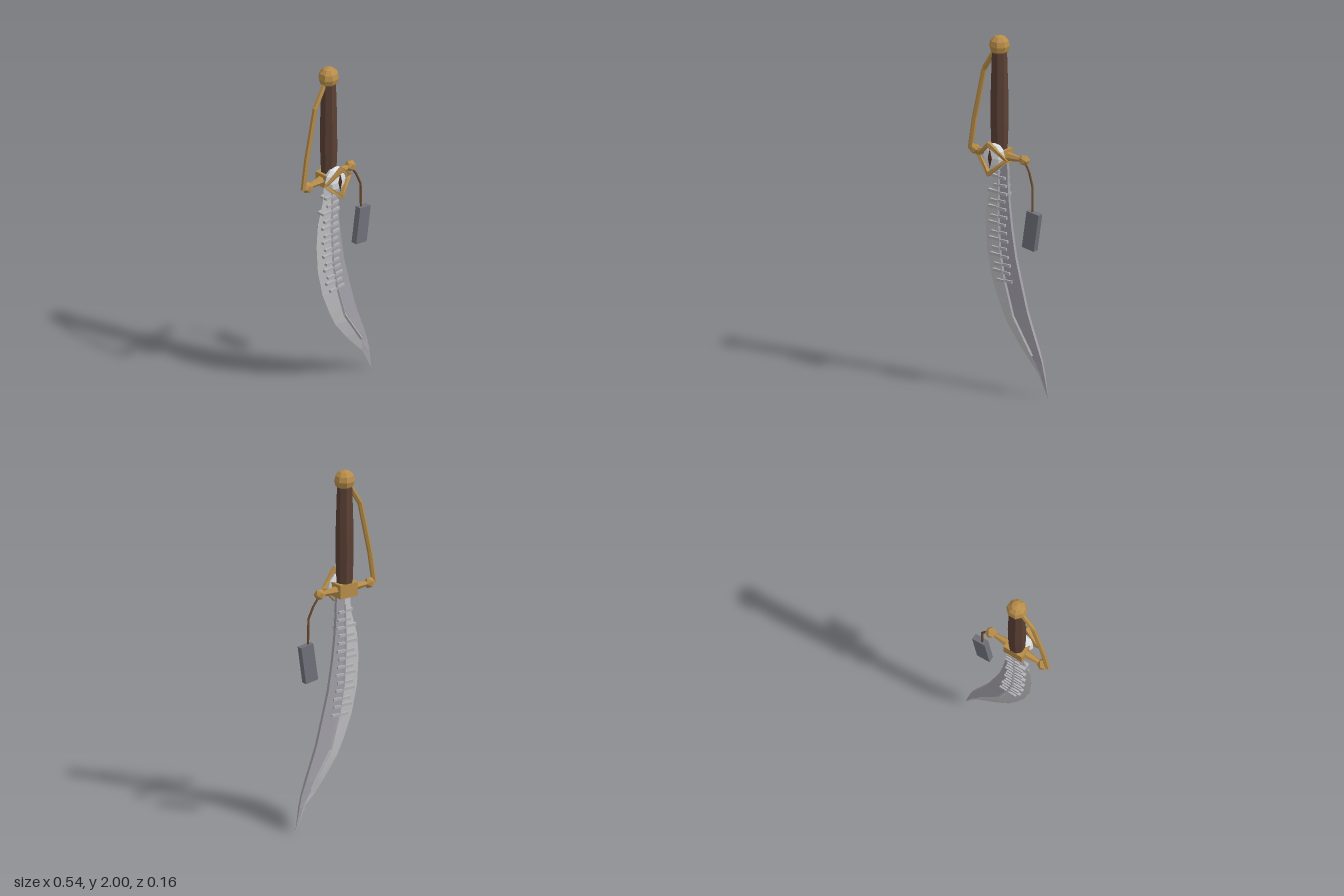
import * as THREE from 'three';

const CX = -0.06, CZ = -0.027, GY = 1.323; // hilt axis and guard height

const mat = (name, color) => {
  const m = new THREE.MeshStandardMaterial({ color, flatShading: true });
  m.name = name;
  return m;
};

export function createModel() {
  const root = new THREE.Group();
  root.name = 'curvedDagger';
  const gold = mat('gold', 0xb78d4a), wood = mat('brown grip', 0x5b4034),
    edgeSteel = mat('edge steel', 0xbfbfc1), spineSteel = mat('spine steel', 0xa3a0a9),
    ribSteel = mat('rib steel', 0xb2b2b7), white = mat('eye white', 0xdcdfe4),
    dark = mat('pupil brown', 0x4a2c1c), cordMat = mat('cord brown', 0x6e4c30),
    slate = mat('tag grey', 0x70717a);

  const add = (name, geo, material, x = 0, y = 0, z = 0, parent = root) => {
    const m = new THREE.Mesh(geo, material);
    m.name = name;
    m.position.set(x, y, z);
    parent.add(m);
    return m;
  };

  // Skin between successive rows of section points
  const skin = (rows) => {
    const pos = [];
    for (let i = 0; i < rows.length - 1; i++)
      for (let j = 0; j < rows[i].length - 1; j++) {
        const a = rows[i][j], b = rows[i][j + 1], c = rows[i + 1][j + 1], d = rows[i + 1][j];
        pos.push(...d, ...c, ...b, ...d, ...b, ...a);
      }
    const g = new THREE.BufferGeometry();
    g.setAttribute('position', new THREE.Float32BufferAttribute(pos, 3));
    g.computeVertexNormals();
    return g;
  };

  // Tapered prism from point p to point q
  const bar = (name, p, q, r0, r1, sides, material, parent = root) => {
    const a = new THREE.Vector3(...p), b = new THREE.Vector3(...q);
    const dir = b.clone().sub(a);
    const m = add(name, new THREE.CylinderGeometry(r1, r0, dir.length(), sides), material, 0, 0, 0, parent);
    m.position.copy(a).add(b).multiplyScalar(0.5);
    m.quaternion.setFromUnitVectors(new THREE.Vector3(0, 1, 0), dir.normalize());
    return m;
  };

  // Pommel and grip
  add('pommel', new THREE.SphereGeometry(0.058, 8, 6).rotateY(Math.PI / 8), gold, CX, 1.942, CZ);
  const gripProfile = [[0.001, 1.34], [0.044, 1.34], [0.05, 1.5], [0.049, 1.68], [0.042, 1.91], [0.001, 1.91]];
  add('grip', new THREE.LatheGeometry(gripProfile.map(p => new THREE.Vector2(...p)), 8).rotateY(Math.PI / 8),
    wood, CX, 0, CZ);

  // Cross guard with arms and knobs
  add('guardBlock', new THREE.BoxGeometry(0.117, 0.078, 0.085), gold, CX, GY, CZ);
  for (const s of [-1, 1]) {
    bar('guardArm', [CX + s * 0.05, GY, CZ], [CX + s * 0.155, GY, CZ], 0.026, 0.012, 6, gold);
    add('guardKnob', new THREE.IcosahedronGeometry(0.033, 0), gold, CX + s * 0.166, GY, CZ);
  }

  // Knuckle bow
  const bow = [[-0.256, 1.32, CZ], [-0.228, 1.5, CZ], [-0.163, 1.79, CZ], [-0.09, 1.91, CZ]];
  for (let i = 0; i < bow.length - 1; i++)
    bar('knuckleBow', bow[i], bow[i + 1], 0.0145, 0.0145, 6, gold);

  // Eye on the guard, with a slit pupil and a bent diamond frame
  add('eye', new THREE.SphereGeometry(1, 8, 6).scale(0.072, 0.078, 0.042), white, CX, GY, 0.02);
  add('pupil', new THREE.OctahedronGeometry(1).scale(0.014, 0.055, 0.012), dark, CX, GY, 0.06);
  const corner = (dx, dy, z, k, t) => {
    const o = [CX + dx, GY + dy], n = [CX + dx * k, GY + dy * k];
    return [[...n, z], [...o, z], [...o, z - t], [...n, z - t], [...n, z]];
  };
  const top = corner(0, 0.098, 0.083, 0.72, 0.024), bottom = corner(0, -0.098, 0.083, 0.72, 0.024);
  const right = corner(0.105, 0, 0.043, 0.74, 0.008), left = corner(-0.105, 0, 0.043, 0.74, 0.008);
  add('eyeFrame', skin([top, right, bottom, left, top]), gold);

  // Blade stations: height, cutting edge x, ridge x, spine x
  const stations = [
    [1.3, -0.095, -0.05, -0.002], [1.185, -0.104, -0.052, 0], [1.05, -0.143, -0.055, 0.01],
    [0.92, -0.153, -0.054, 0.026], [0.76, -0.143, -0.04, 0.053], [0.6, -0.106, -0.01, 0.095],
    [0.47, -0.053, 0.034, 0.13], [0.38, -0.008, 0.072, 0.163], [0.273, 0.074, 0.14, 0.204],
    [0.2, 0.138, 0.185, 0.23], [0.135, 0.2, 0.222, 0.245], [0.0, 0.268, 0.268, 0.268]];
  const edgeFront = [], edgeBack = [], spine = [];
  stations.forEach(([y, l, m, r], i) => {
    const k = i === stations.length - 1 ? 0 : i > 8 ? 0.7 : 1;
    const h = 0.016 * k, w = 0.009 * k;
    edgeFront.push([[l, y, CZ], [m, y, CZ + h]]);
    spine.push([[m, y, CZ + h], [r, y, CZ + w], [r, y, CZ - w], [m, y, CZ - h]]);
    edgeBack.push([[m, y, CZ - h], [l, y, CZ]]);
  });
  add('bladeEdgeFront', skin(edgeFront), edgeSteel);
  add('bladeEdgeBack', skin(edgeBack), edgeSteel);
  add('bladeSpine', skin(spine), spineSteel);

  // Raised backbone along both faces
  const backbone = [[-0.05, 1.24], [-0.055, 1.0], [-0.042, 0.78], [-0.014, 0.63], [0.045, 0.43], [0.172, 0.23]];
  for (const s of [-1, 1])
    for (let i = 0; i < backbone.length - 1; i++)
      bar('backbone', [...backbone[i], CZ + s * 0.017], [...backbone[i + 1], CZ + s * 0.017], 0.008, 0.008, 4, ribSteel);

  // Ribs, staggered on either side of the backbone
  const ridgeAt = (y) => {
    const i = backbone.findIndex((p, n) => n > 0 && y >= p[1]);
    const [a, b] = [backbone[i - 1], backbone[i]];
    return a[0] + (b[0] - a[0]) * (a[1] - y) / (a[1] - b[1]);
  };
  const rib = (y, len, side) =>
    add('rib', new THREE.BoxGeometry(len, 0.015, 0.046), ribSteel, ridgeAt(y) + side * len / 2, y, CZ);
  for (let i = 0; i < 14; i++) {
    const y = 1.2 - i * 0.0445;
    rib(y, 0.043 + (i % 3) * 0.006, 1);
    rib(y - 0.008 * (i % 2) + 0.004, (i % 2 ? 0.055 : 0.07) - (i < 2 ? 0.02 : 0), -1);
  }

  // Cord and hanging tag
  const cord = [[0.112, 1.31, CZ], [0.145, 1.26, -0.022], [0.172, 1.19, -0.014], [0.173, 1.03, -0.012]];
  for (let i = 0; i < cord.length - 1; i++)
    bar('cord', cord[i], cord[i + 1], 0.0065, 0.0065, 5, cordMat);
  add('tag', new THREE.BoxGeometry(0.081, 0.213, 0.035), slate, 0.172, 0.942, -0.01).rotation.z = -0.149;

  return root;
}
